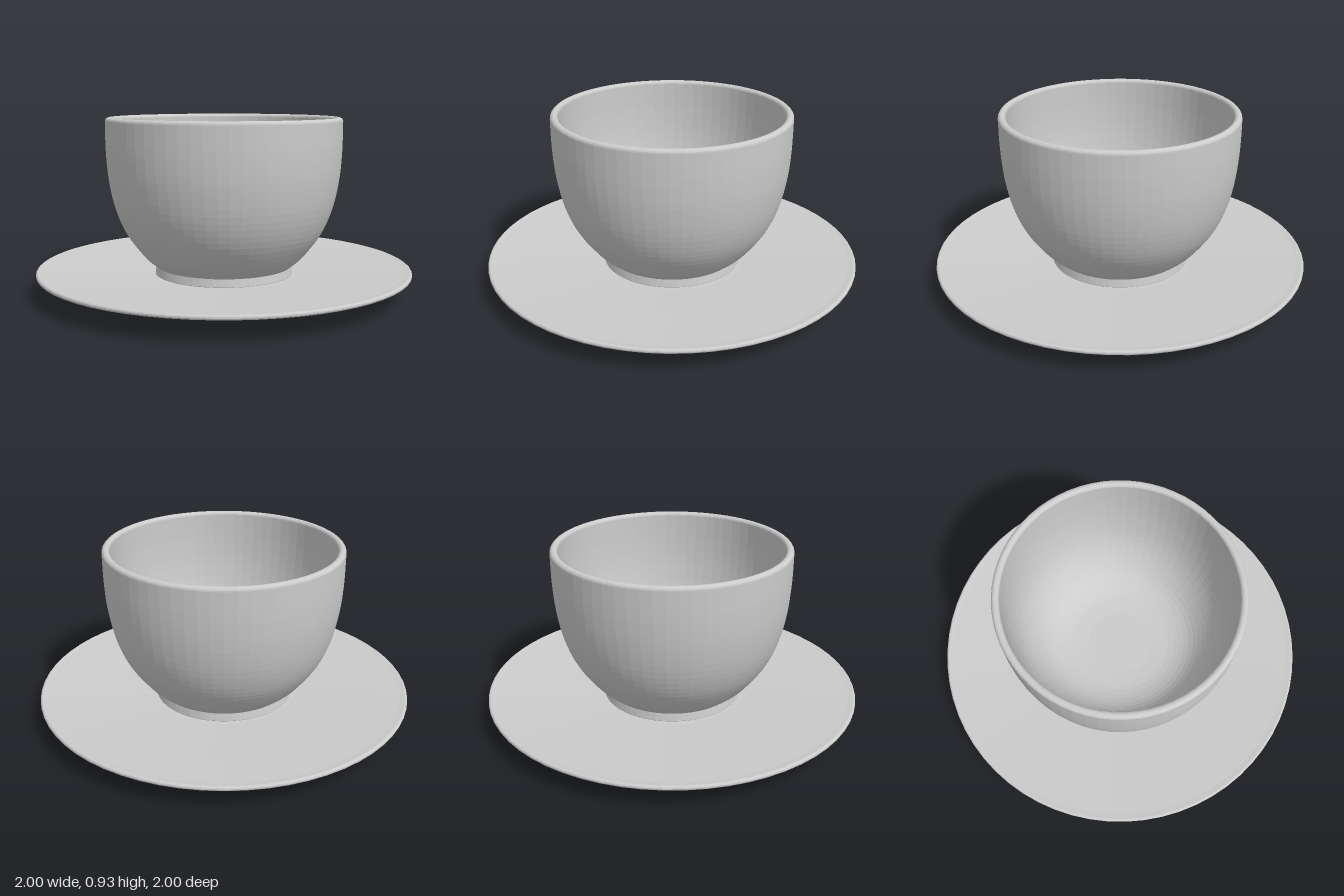
import * as THREE from 'three';

const SEGMENTS = 64;
const v = (p) => new THREE.Vector2(p[0], p[1]);

// Smooth run of profile points through a few control points
const curve = (points, n) => new THREE.SplineCurve(points.map(v)).getPoints(n);

// Rounded lip: half ellipse swept from angle a to angle b
function lip(cx, cy, rx, ry, a, b, n = 8) {
  return Array.from({ length: n + 1 }, (_, i) => {
    const t = a + (b - a) * i / n;
    return new THREE.Vector2(cx + rx * Math.cos(t), cy + ry * Math.sin(t));
  });
}

function turned(name, profile) {
  const material = new THREE.MeshStandardMaterial({ color: 0xcccccc, flatShading: true });
  const mesh = new THREE.Mesh(new THREE.LatheGeometry(profile, SEGMENTS), material);
  mesh.name = name;
  return mesh;
}

export function createModel() {
  const group = new THREE.Group();
  group.name = 'cupAndSaucer';

  // Saucer: flat base, flaring underside, rounded rim, gently dished top
  group.add(turned('saucer', [
    v([0, 0]), v([0.445, 0]),
    ...curve([[0.455, 0.003], [0.55, 0.036], [0.65, 0.06], [0.8, 0.085], [0.985, 0.109]], 14),
    ...lip(0.988, 0.122, 0.012, 0.012, -Math.PI / 3, Math.PI / 2, 6),
    ...curve([[0.96, 0.13], [0.7, 0.113], [0.4, 0.093]], 8),
    v([0, 0.09]),
  ]));

  // Cup: foot ring, rounded bowl, soft lip, hollow inside
  group.add(turned('cup', [
    v([0, 0.085]), v([0.368, 0.085]), v([0.372, 0.095]), v([0.365, 0.135]), v([0.382, 0.15]),
    ...curve([[0.39, 0.155], [0.44, 0.203], [0.525, 0.32], [0.58, 0.45],
      [0.612, 0.6], [0.625, 0.75], [0.627, 0.905]], 24),
    ...lip(0.607, 0.912, 0.02, 0.019, 0, Math.PI, 10),
    ...curve([[0.587, 0.9], [0.584, 0.75], [0.57, 0.6], [0.538, 0.45],
      [0.483, 0.33], [0.4, 0.23], [0.3, 0.18], [0.18, 0.165]], 26),
    v([0, 0.165]),
  ]));

  return group;
}
